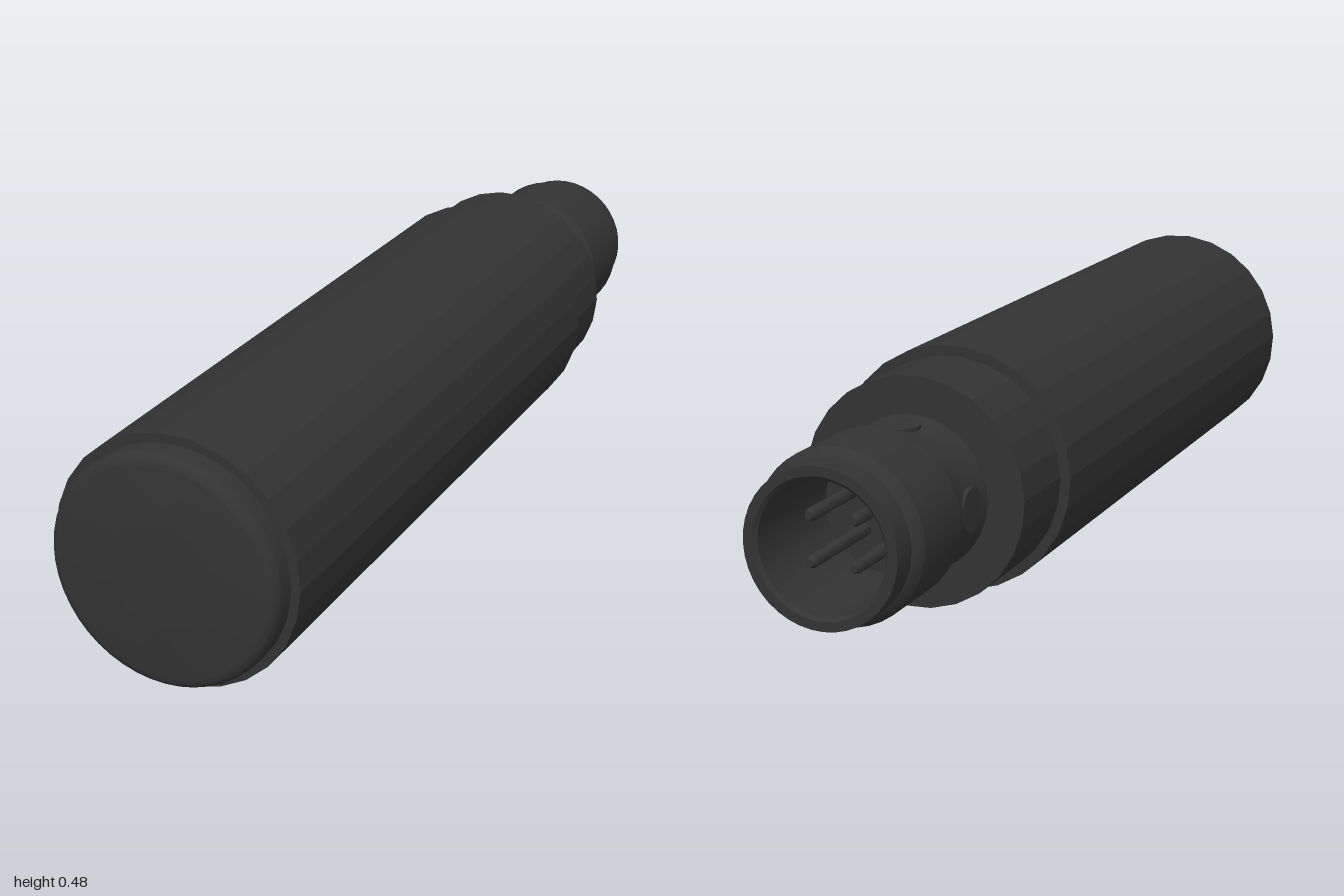
import * as THREE from 'three';
import { toCreasedNormals } from 'three/addons/utils/BufferGeometryUtils.js';

const AXIS_Y = 0.243;
const dark = new THREE.MeshStandardMaterial({ color: 0x333333 });
const darkFlat = new THREE.MeshStandardMaterial({ color: 0x333333, flatShading: true });

// Turned part along z; profile points are [radius, z], from back to front
function turned(name, profile, sides, flat = false) {
  const points = profile.map(([r, z]) => new THREE.Vector2(r, z));
  let geometry = new THREE.LatheGeometry(points, sides, Math.PI / 2 - 0.03);
  geometry.rotateX(Math.PI / 2);
  if (!flat) geometry = toCreasedNormals(geometry, 0.5);
  const mesh = new THREE.Mesh(geometry, flat ? darkFlat : dark);
  mesh.name = name;
  return mesh;
}

export function createModel() {
  const sensor = new THREE.Group();
  sensor.name = 'cylindricalSensor';
  const axis = new THREE.Group();
  axis.name = 'turnedParts';
  axis.position.y = AXIS_Y;
  sensor.add(axis);

  // Faceted main barrel and stepped rear neck
  axis.add(turned('barrel', [[0, -0.445], [0.243, -0.445], [0.243, 0.945], [0, 0.945]], 26, true));
  axis.add(turned('rearNeck', [[0, -0.625], [0.223, -0.625], [0.223, -0.44], [0, -0.44]], 26, true));

  // Front cap with a rounded rim
  const capProfile = [[0, 0.93], [0.225, 0.93], [0.225, 0.975]];
  for (let i = 1; i <= 5; i++) {
    const a = (i / 5) * Math.PI / 2;
    capProfile.push([0.203 + 0.022 * Math.cos(a), 0.975 + 0.024 * Math.sin(a)]);
  }
  capProfile.push([0, 0.999]);
  axis.add(turned('frontCap', capProfile, 48));

  // Sensing disc set into the front face
  axis.add(turned('sensingDisc', [[0, 0.99], [0.102, 0.99], [0.102, 1], [0, 1]], 48));

  // Hollow plug connector with a waist, a collar and an open end
  axis.add(turned('connector', [
    [0, -0.74], [0.122, -0.74], [0.122, -0.993], [0.129, -1], [0.147, -1],
    [0.147, -0.945], [0.154, -0.94], [0.163, -0.925], [0.163, -0.775], [0.154, -0.76],
    [0.15, -0.755], [0.144, -0.72], [0.144, -0.65], [0.15, -0.635], [0.15, -0.62], [0, -0.62],
  ], 40));

  // Four round indicator windows around the waist
  for (let i = 0; i < 4; i++) {
    const holder = new THREE.Group();
    holder.name = 'indicatorWindow';
    holder.rotation.z = i * Math.PI / 2;
    const lens = new THREE.Mesh(new THREE.CylinderGeometry(0.042, 0.042, 0.02, 24), dark);
    lens.name = 'lens';
    lens.position.set(0, 0.136, -0.685);
    holder.add(lens);
    axis.add(holder);
  }

  // Contact pins inside the connector
  for (let i = 0; i < 4; i++) {
    const a = Math.PI / 4 + i * Math.PI / 2;
    axis.add(pin(0.06 * Math.cos(a), 0.06 * Math.sin(a)));
  }
  return sensor;
}

// Thin contact pin with a tapered tip
function pin(x, y) {
  const mesh = turned('contactPin', [[0, -0.955], [0.007, -0.955], [0.012, -0.945], [0.012, -0.73]], 14);
  mesh.position.set(x, y, 0);
  return mesh;
}
